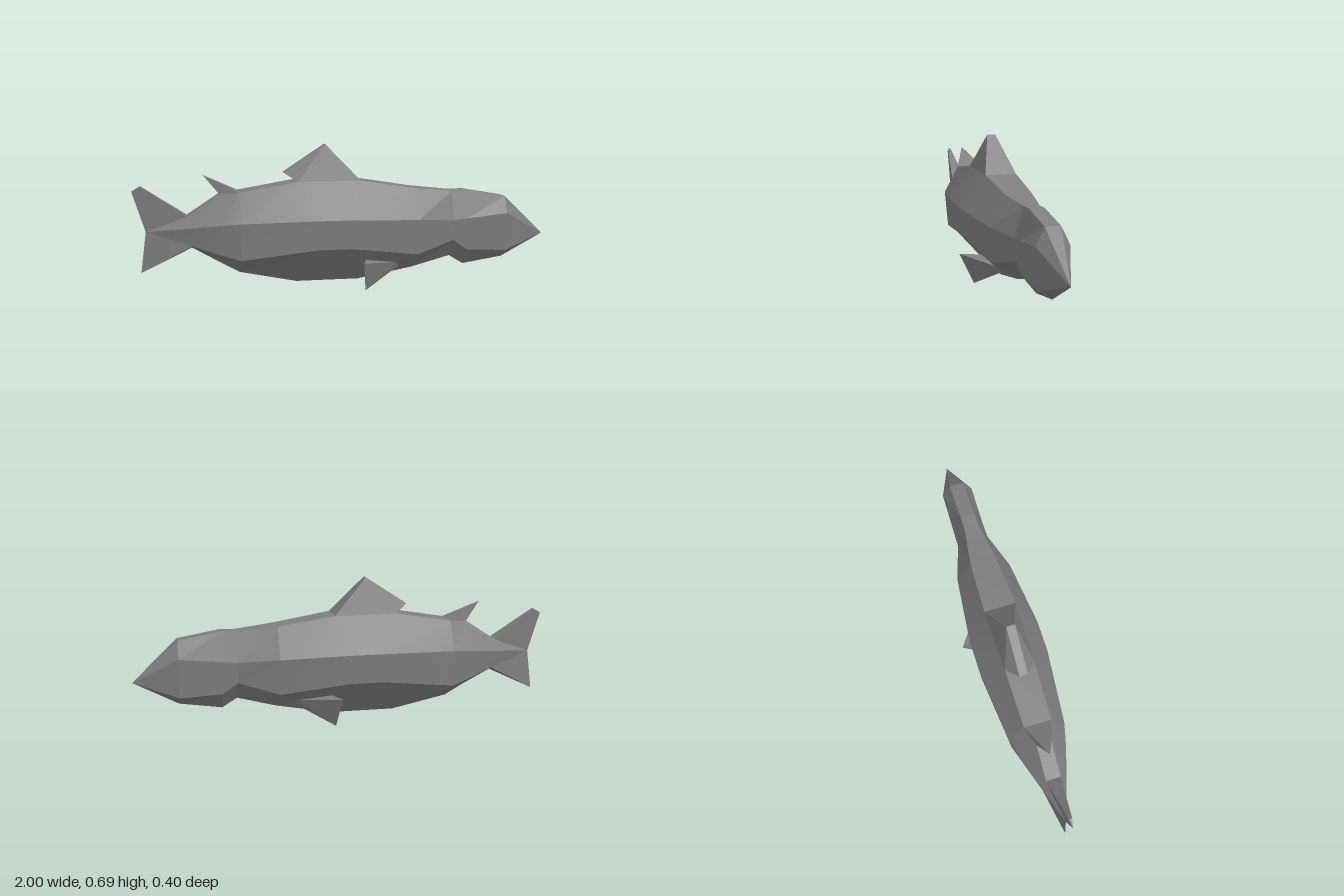
import * as THREE from 'three';
import { toCreasedNormals } from 'three/addons/utils/BufferGeometryUtils.js';
import { ConvexGeometry } from 'three/addons/geometries/ConvexGeometry.js';

const material = new THREE.MeshStandardMaterial({ color: 0x7f7f7f });

// Body stations, tail to nose: [x, y, half width] of back edge, flank, lower flank and belly
const stations = [
  [[-0.94, 0.29, 0], [-0.94, 0.29, 0], [-0.94, 0.29, 0], [-0.94, 0.29, 0]],
  [[-0.75, 0.362, 0.035], [-0.74, 0.31, 0.07], [-0.73, 0.225, 0.055], [-0.73, 0.21, 0]],
  [[-0.6, 0.46, 0.035], [-0.6, 0.325, 0.112], [-0.6, 0.185, 0.095], [-0.6, 0.135, 0]],
  [[-0.51, 0.47, 0.065], [-0.51, 0.333, 0.135], [-0.51, 0.16, 0.12], [-0.51, 0.085, 0]],
  [[-0.24, 0.515, 0.07], [-0.15, 0.342, 0.17], [-0.15, 0.205, 0.16], [-0.24, 0.03, 0]],
  [[0.06, 0.515, 0.075], [0, 0.342, 0.17], [0, 0.205, 0.16], [0.06, 0.03, 0]],
  [[0.33, 0.472, 0.063], [0.33, 0.328, 0.135], [0.33, 0.16, 0.115], [0.33, 0.078, 0]],
  [[0.52, 0.453, 0.036], [0.52, 0.313, 0.077], [0.52, 0.215, 0.068], [0.52, 0.128, 0]],
  [[0.59, 0.455, 0.035], [0.59, 0.32, 0.075], [0.59, 0.165, 0.065], [0.59, 0.085, 0]],
  [[0.79, 0.42, 0.035], [0.79, 0.34, 0.075], [0.79, 0.155, 0.06], [0.79, 0.115, 0]],
  [[1, 0.225, 0], [1, 0.225, 0], [1, 0.225, 0], [1, 0.225, 0]],
];

const vec = ([x, y, z]) => new THREE.Vector3(x, y, z);
const mirror = ([x, y, z]) => [x, y, -z];

// Mirror each half section into a ring and skin the rings
function loft(sections) {
  const rings = sections.map(s => [...s, ...s.slice(0, 3).reverse().map(mirror)].map(vec));
  const pos = [];
  const tri = (a, b, c) => {
    const area = b.clone().sub(a).cross(c.clone().sub(a)).length();
    if (area > 1e-8) for (const p of [a, b, c]) pos.push(p.x, p.y, p.z);
  };
  for (let i = 0; i < rings.length - 1; i++) {
    const r = rings[i], s = rings[i + 1], n = r.length;
    for (let j = 0; j < n; j++) {
      const k = (j + 1) % n;
      tri(r[j], r[k], s[j]);
      tri(r[k], s[k], s[j]);
    }
  }
  const geometry = new THREE.BufferGeometry();
  geometry.setAttribute('position', new THREE.Float32BufferAttribute(pos, 3));
  return toCreasedNormals(geometry, 0.18);
}

export function createModel() {
  const group = new THREE.Group();
  const add = (name, geometry) => {
    const mesh = new THREE.Mesh(geometry, material);
    mesh.name = name;
    group.add(mesh);
  };
  // Wedge fin, symmetric about the middle plane
  const midFin = (name, points) =>
    add(name, new ConvexGeometry(points.flatMap(p => (p[2] ? [p, mirror(p)] : [p])).map(vec)));

  add('body', loft(stations));

  midFin('dorsalFin', [[0.06, 0.515, 0.075], [-0.1, 0.685, 0.02], [-0.3, 0.555, 0.02], [-0.24, 0.515, 0.07]]);
  midFin('rearBackFin', [[-0.51, 0.47, 0.065], [-0.6, 0.46, 0.035], [-0.675, 0.55, 0]]);
  midFin('upperTailLobe', [[-0.75, 0.362, 0.035], [-0.96, 0.503, 0.008], [-1, 0.48, 0], [-0.94, 0.29, 0]]);
  midFin('lowerTailLobe', [[-0.73, 0.225, 0.055], [-0.73, 0.21, 0], [-0.965, 0.098, 0], [-0.94, 0.29, 0]]);

  // Paired fins under the chest, with a thick root sunk into the belly
  const pectoral = [
    [0.05, 0.142, 0.2], [0.07, 0, 0.135],
    [0.24, 0.118, 0.07], [0.27, 0.105, 0.04],
    [0.08, 0.14, 0.1], [0.13, 0.057, 0.055],
  ];
  add('rearSidePectoralFin', new ConvexGeometry(pectoral.map(mirror).map(vec)));
  add('frontSidePectoralFin', new ConvexGeometry(pectoral.map(vec)));

  return group;
}
